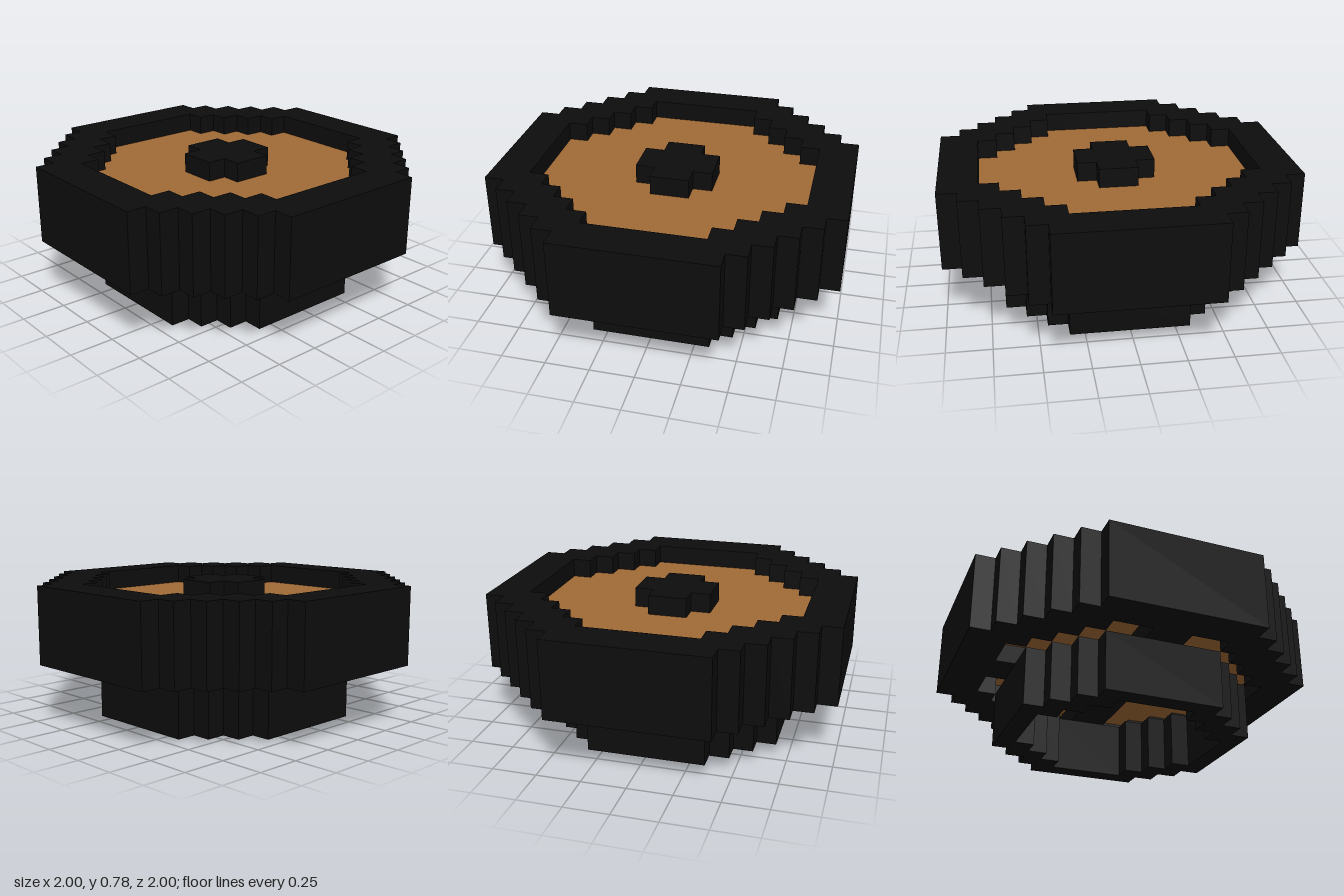
import * as THREE from 'three';

const U = 1 / 9; // size of one block

// Stepped round outline: straight sides at `half`, each `2 * flat` long, joined by unit steps
function steppedOutline(half, flat) {
  const quarter = [];
  for (let x = half, y = flat; x >= flat; x--, y++) {
    quarter.push([x, y]);
    if (x > flat) quarter.push([x - 1, y]);
  }
  const points = [];
  for (let i = 0; i < 4; i++) {
    for (const [x, y] of quarter) {
      const [px, py] = [[x, y], [-y, x], [-x, -y], [y, -x]][i];
      points.push(new THREE.Vector2(px * U, py * U));
    }
  }
  return points;
}

// Upright slab between two block levels, with an optional stepped hole
function slab(name, material, outer, inner, bottom, top) {
  const shape = new THREE.Shape(steppedOutline(...outer));
  if (inner) shape.holes.push(new THREE.Path(steppedOutline(...inner)));
  const geometry = new THREE.ExtrudeGeometry(shape, { depth: (top - bottom) * U, bevelEnabled: false });
  geometry.rotateX(-Math.PI / 2);
  geometry.translate(0, bottom * U, 0);
  const mesh = new THREE.Mesh(geometry, material);
  mesh.name = name;
  return mesh;
}

export function createModel() {
  const black = new THREE.MeshStandardMaterial({ color: 0x0d0d0d });
  black.name = 'black';
  const brown = new THREE.MeshStandardMaterial({ color: 0xa06a36 });
  brown.name = 'brown';

  const model = new THREE.Group();
  model.name = 'steppedRoundDish';

  model.add(
    slab('rim', black, [9, 4], [7, 3], 3, 7),
    slab('plate', brown, [7, 3], null, 4, 6),
    slab('centreCross', black, [2, 1], null, 6, 7),
    slab('baseRing', black, [6, 3], [5, 2], 0, 3),
  );

  // Crossed beams that carry the base ring below the plate
  const beams = new THREE.Group();
  beams.name = 'crossBeams';
  for (const [w, d, x, z] of [[14, 2, 0, 0], [2, 6, 0, 4], [2, 6, 0, -4]]) {
    const beam = new THREE.Mesh(new THREE.BoxGeometry(w * U, U, d * U), black);
    beam.name = 'beam';
    beam.position.set(x * U, 3.5 * U, z * U);
    beams.add(beam);
  }
  model.add(beams);

  return model;
}
